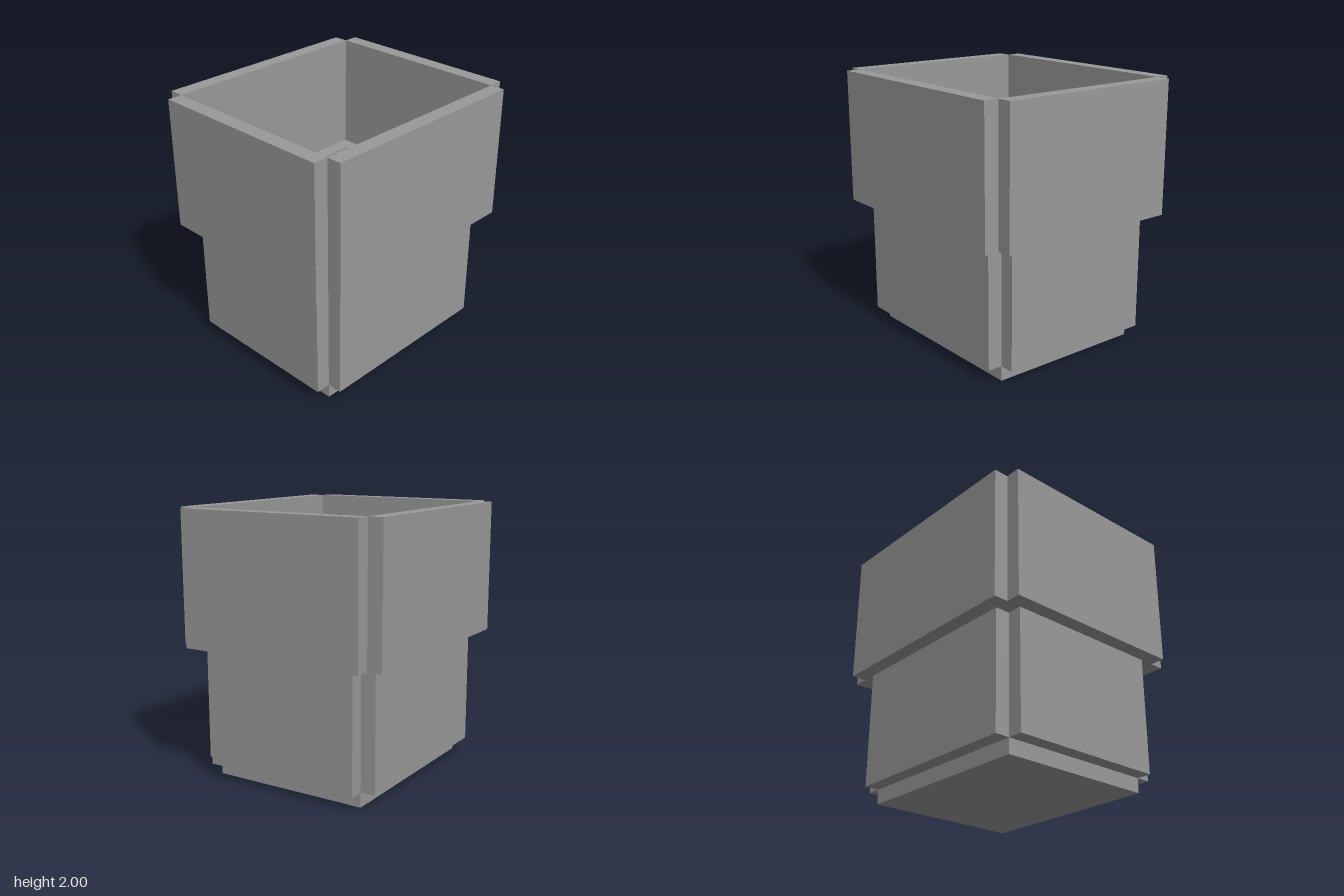
import * as THREE from 'three';

const U = 1 / 9; // panel thickness, the module everything is built on

export function createModel() {
  const model = new THREE.Group();
  const grey = new THREE.MeshStandardMaterial({ color: 0x999999 });
  grey.name = 'plain grey';

  // box given by size and bottom height, in modules
  function box(parent, name, w, h, d, x, y, z) {
    const mesh = new THREE.Mesh(new THREE.BoxGeometry(w * U, h * U, d * U), grey);
    mesh.position.set(x * U, (y + h / 2) * U, z * U);
    mesh.name = name;
    parent.add(mesh);
  }

  // four panels around an opening, leaving the outer corners notched
  function walls(name, halfX, halfZ, y, h) {
    const group = new THREE.Group();
    group.name = name;
    for (const s of [1, -1]) {
      box(group, s > 0 ? 'frontPanel' : 'backPanel', halfX * 2, h, 1, 0, y, s * (halfZ + 0.5));
      box(group, s > 0 ? 'leftPanel' : 'rightPanel', 1, h, halfZ * 2, s * (halfX + 0.5), y, 0);
    }
    model.add(group);
  }

  // base slab, reaching up between the lower panels
  box(model, 'base', 11, 2, 13, 0, 0, 0);
  walls('lowerWalls', 5.5, 6.5, 1, 8);

  // ledge ring between the two tiers
  const ring = new THREE.Group();
  ring.name = 'ledge';
  for (const s of [1, -1]) {
    box(ring, s > 0 ? 'frontLedge' : 'backLedge', 13, 1, 1, 0, 9, s * 7);
    box(ring, s > 0 ? 'leftLedge' : 'rightLedge', 1, 1, 13, s * 6, 9, 0);
  }
  model.add(ring);

  walls('upperWalls', 6.5, 7.5, 9, 9);
  return model;
}
